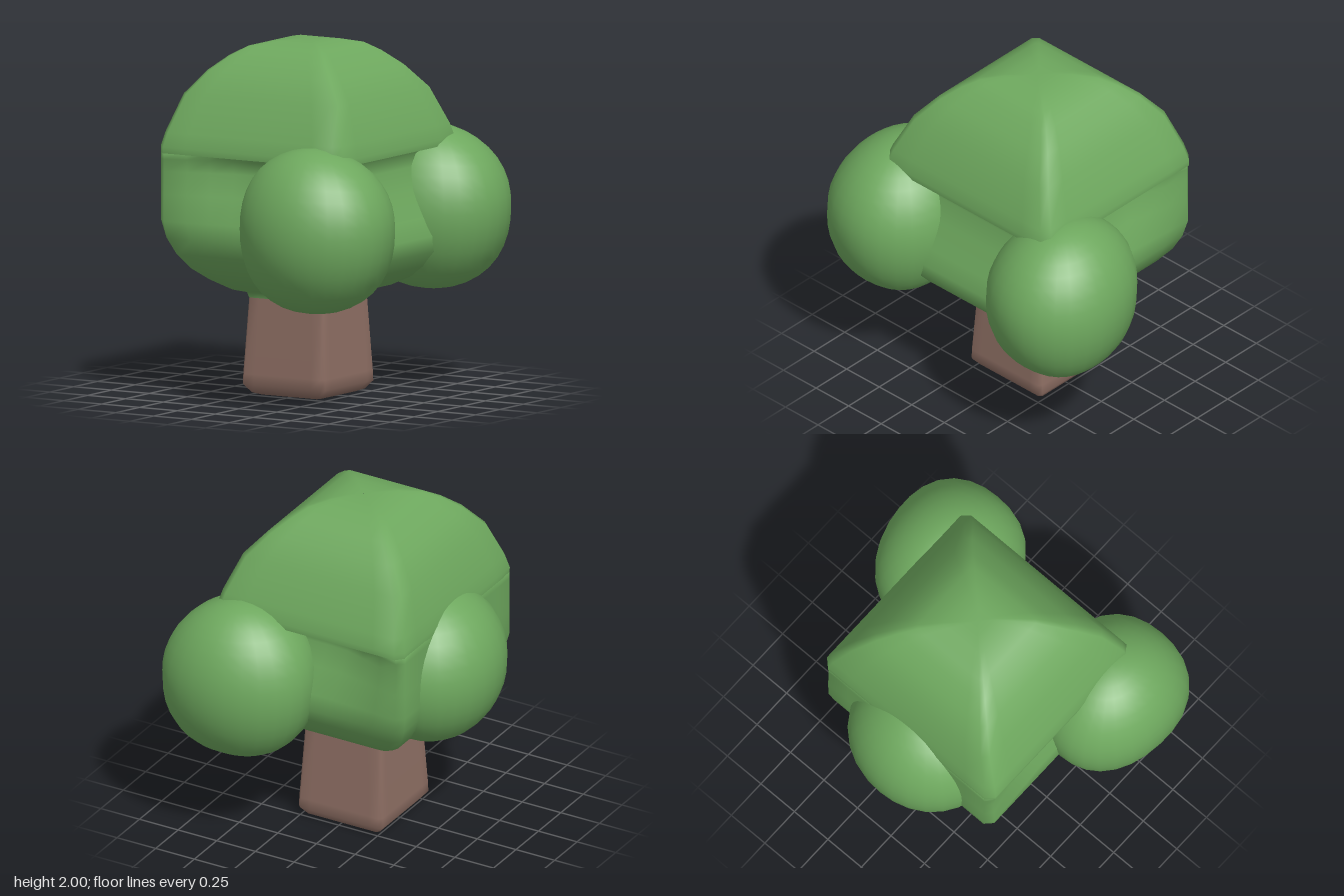
import * as THREE from 'three';

const foliage = new THREE.MeshStandardMaterial({ color: 0x6ea85e });
foliage.name = 'leaf green';
const bark = new THREE.MeshStandardMaterial({ color: 0x8d6e63 });
bark.name = 'bark brown';

// Unit square outline with clipped corners, counter-clockwise from above
function squareRing(steps, clip) {
  const ring = [];
  for (let side = 0; side < 4; side++) {
    for (let i = 0; i <= steps; i++) {
      let x = 1, z = (1 - clip) * (1 - 2 * i / steps);
      for (let k = 0; k < side; k++) [x, z] = [z, -x];
      ring.push([x, z]);
    }
  }
  return ring;
}

// Smooth loft through square rows [y, xMin, xMax, halfDepth], bottom to top
function loft(rows, bend = null) {
  const ring = squareRing(8, 0.07), n = ring.length, pos = [], index = [];
  rows.forEach(([y, x0, x1, hz]) => {
    for (const [u, v] of ring) {
      const p = [(x0 + x1) / 2 + u * (x1 - x0) / 2, y, v * hz];
      if (bend) bend(p, u, v, hz);
      pos.push(...p);
    }
  });
  for (let r = 0; r < rows.length - 1; r++) {
    for (let i = 0; i < n; i++) {
      const a = r * n + i, b = r * n + (i + 1) % n;
      index.push(a, b, b + n, a, b + n, a + n);
    }
  }
  const geo = new THREE.BufferGeometry();
  geo.setAttribute('position', new THREE.Float32BufferAttribute(pos, 3));
  geo.setIndex(index);
  geo.computeVertexNormals();
  return geo;
}

// Slightly boxy leaf clump: deeper towards +x by fullness, its +x shoulder lowered by slope
function clump(name, center, radii, power, fullness, slope) {
  const geo = new THREE.SphereGeometry(1, 28, 20);
  const p = geo.attributes.position;
  for (let i = 0; i < p.count; i++) {
    let [x, y, z] = [p.getX(i), p.getY(i), p.getZ(i)];
    const k = [x, y, z].reduce((sum, c) => sum + Math.abs(c) ** power, 0) ** (-1 / power);
    x *= k; y *= k; z *= k;
    if (y > 0) y *= 1 - slope * Math.max(0, x);
    p.setXYZ(i, x, y, z * (1 + fullness * x));
  }
  const mesh = new THREE.Mesh(geo, foliage);
  mesh.name = name;
  mesh.position.set(...center);
  mesh.scale.set(...radii);
  return mesh;
}

export function createModel() {
  const tree = new THREE.Group();
  tree.name = 'tree';
  const add = (name, geo, material) => {
    const mesh = new THREE.Mesh(geo, material);
    mesh.name = name;
    tree.add(mesh);
  };

  // Tapered square trunk with a softened foot
  add('trunk', loft([
    [0, -0.016, -0.014, 0.001],
    [0, -0.21, 0.18, 0.20],
    [0.015, -0.25, 0.22, 0.24],
    [0.06, -0.287, 0.257, 0.272],
    [0.12, -0.285, 0.255, 0.27],
    [0.55, -0.26, 0.23, 0.245],
    [0.62, -0.255, 0.225, 0.24],
  ]), bark);

  // Lower crown: waisted below the cap, but flush with it along the -x side
  add('lowerCrown', loft([
    [0.55, -0.262, 0.232, 0.247],
    [0.58, -0.27, 0.245, 0.255],
    [0.60, -0.33, 0.34, 0.33],
    [0.66, -0.43, 0.46, 0.42],
    [0.72, -0.50, 0.55, 0.49],
    [0.81, -0.56, 0.635, 0.56],
    [0.90, -0.60, 0.64, 0.60],
    [1.00, -0.62, 0.60, 0.59],
    [1.15, -0.62, 0.53, 0.53],
    [1.28, -0.62, 0.49, 0.49],
    [1.35, -0.62, 0.49, 0.50],
    [1.39, -0.62, 0.53, 0.54],
    [1.42, -0.60, 0.54, 0.55],
  ], (p, u, v, hz) => {
    if (p[1] < 0.95 || p[1] > 1.4) return;
    const flush = Math.max(0, -u - 0.2) / 0.8;
    p[2] = v * THREE.MathUtils.lerp(hz, 0.625, flush);
  }), foliage);

  // Domed square cap with a crisp overhanging rim
  add('crownCap', loft([
    [1.385, -0.02, -0.01, 0.005],
    [1.385, -0.62, 0.585, 0.628],
    [1.385, -0.62, 0.585, 0.628],
    [1.42, -0.62, 0.588, 0.63],
    [1.50, -0.602, 0.567, 0.607],
    [1.71, -0.535, 0.485, 0.515],
    [1.84, -0.435, 0.375, 0.415],
    [1.92, -0.345, 0.285, 0.325],
    [1.97, -0.265, 0.215, 0.245],
    [1.995, -0.16, 0.12, 0.14],
    [2.0, -0.08, 0.05, 0.06],
    [2.0, -0.016, -0.014, 0.001],
  ]), foliage);

  // Three side clumps
  for (const s of [1, -1]) {
    tree.add(clump(s > 0 ? 'frontClump' : 'backClump',
      [0.42, 1.02, 0.61 * s], [0.44, 0.465, 0.38], 2.25, 0.1, 0.12));
  }
  tree.add(clump('rightClump', [-0.45, 1.06, 0], [0.415, 0.455, 0.45], 2.1, 0, 0));

  return tree;
}
